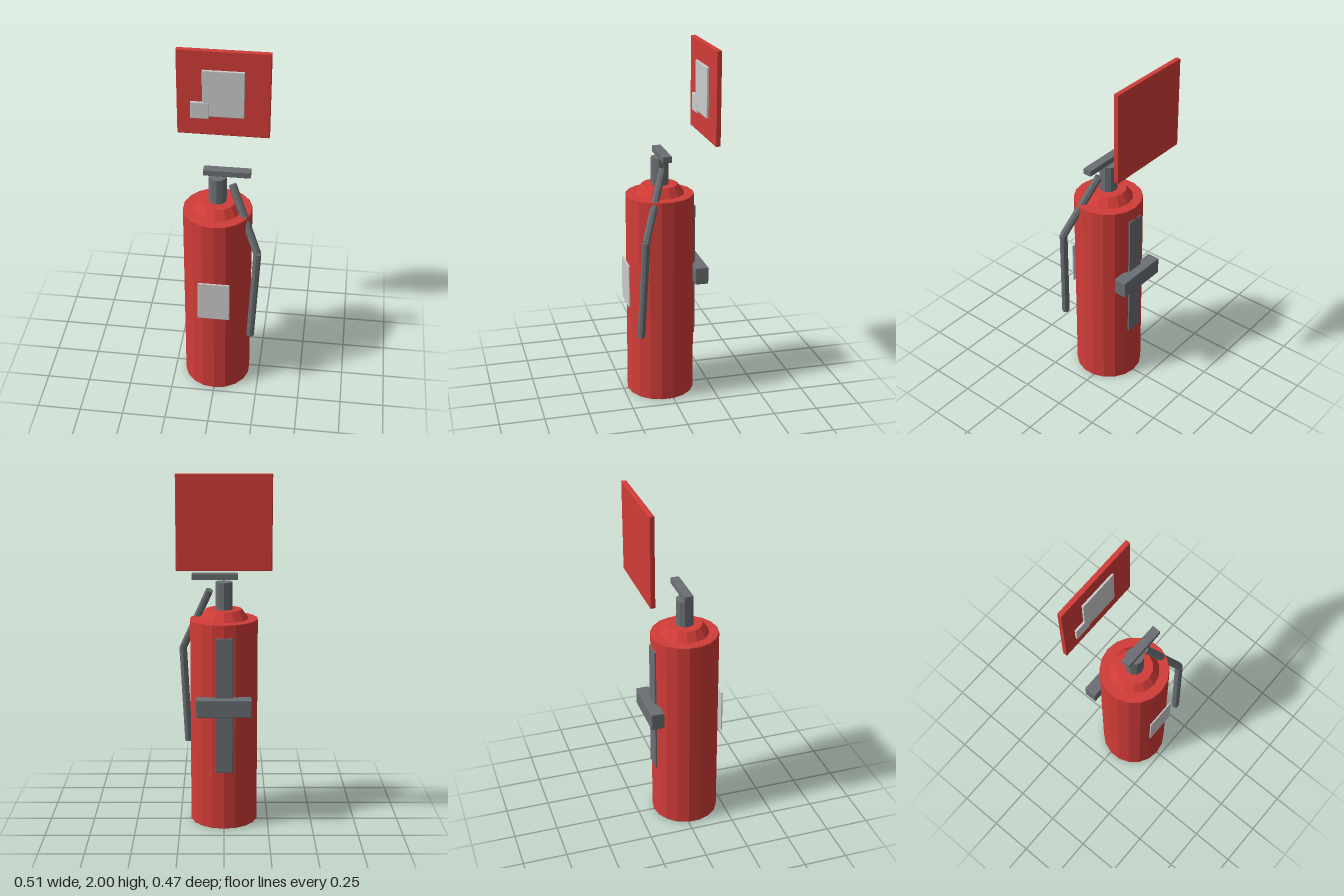
import * as THREE from 'three';
import { RoundedBoxGeometry } from 'three/addons/geometries/RoundedBoxGeometry.js';

const material = (color) => new THREE.MeshStandardMaterial({ color, flatShading: true });

export function createModel() {
  const model = new THREE.Group();
  model.name = 'fireExtinguisher';
  const red = material(0xd23c38);
  const dark = material(0x6b6f73);
  const pale = material(0xcccccc);
  const axisZ = 0.034; // depth of the cylinder axis

  const add = (name, geometry, mat) => {
    const mesh = new THREE.Mesh(geometry, mat);
    mesh.name = name;
    model.add(mesh);
    return mesh;
  };
  // Slightly bevelled box from its [min, max] on each axis
  const box = (name, x, y, z, mat, bevel = 0.004) => {
    const size = [x, y, z].map(([a, b]) => b - a);
    const mesh = add(name, new RoundedBoxGeometry(...size, 1, bevel), mat);
    mesh.position.set(...[x, y, z].map(([a, b]) => (a + b) / 2));
  };
  // Faceted turned part around the cylinder axis, profile from bottom to top
  const turned = (name, profile, sides, mat) => {
    const points = profile.map(([r, y]) => new THREE.Vector2(r, y));
    add(name, new THREE.LatheGeometry(points, sides), mat).position.z = axisZ;
  };
  // Straight rod between two points
  const rod = (name, a, b, radius, mat) => {
    const dir = b.clone().sub(a);
    const mesh = add(name, new THREE.CylinderGeometry(radius, radius, dir.length(), 8), mat);
    mesh.position.copy(a).add(b).multiplyScalar(0.5);
    mesh.quaternion.setFromUnitVectors(new THREE.Vector3(0, 1, 0), dir.normalize());
  };

  // Tank, shoulder and valve
  turned('tank', [[0, 0], [0.188, 0], [0.191, 0.003], [0.191, 1.177], [0.188, 1.18], [0, 1.18]], 18, red);
  turned('shoulder', [[0, 1.17], [0.137, 1.17], [0.137, 1.18], [0.101, 1.232], [0, 1.232]], 14, red);
  turned('valveNeck', [[0, 1.22], [0.05, 1.22], [0.05, 1.385], [0, 1.385]], 10, dark);
  box('handle', [-0.077, 0.179], [1.398, 1.432], [0.009, 0.059], dark, 0.002);

  // Hose in two straight lengths
  const bend = new THREE.Vector3(0.234, 0.98, 0.165);
  rod('upperHose', new THREE.Vector3(0.08, 1.338, 0.036), bend, 0.022, dark);
  rod('lowerHose', bend, new THREE.Vector3(0.206, 0.415, 0.19), 0.022, dark);

  // Front label
  box('label', [-0.09, 0.09], [0.545, 0.795], [0.225, 0.234], pale, 0.003);

  // Wall mount behind the tank
  box('mountStrip', [-0.05, 0.05], [0.335, 1.105], [-0.159, -0.134], dark);
  box('mountBracket', [-0.153, 0.153], [0.672, 0.77], [-0.209, -0.134], dark);

  // Wall sign with a raised pictogram
  box('signPlate', [-0.255, 0.255], [1.49, 2.0], [-0.237, -0.209], red);
  box('signPanel', [-0.115, 0.115], [1.61, 1.888], [-0.212, -0.197], pale, 0.003);
  box('signCorner', [-0.18, -0.078], [1.595, 1.695], [-0.212, -0.196], pale, 0.003);

  return model;
}
